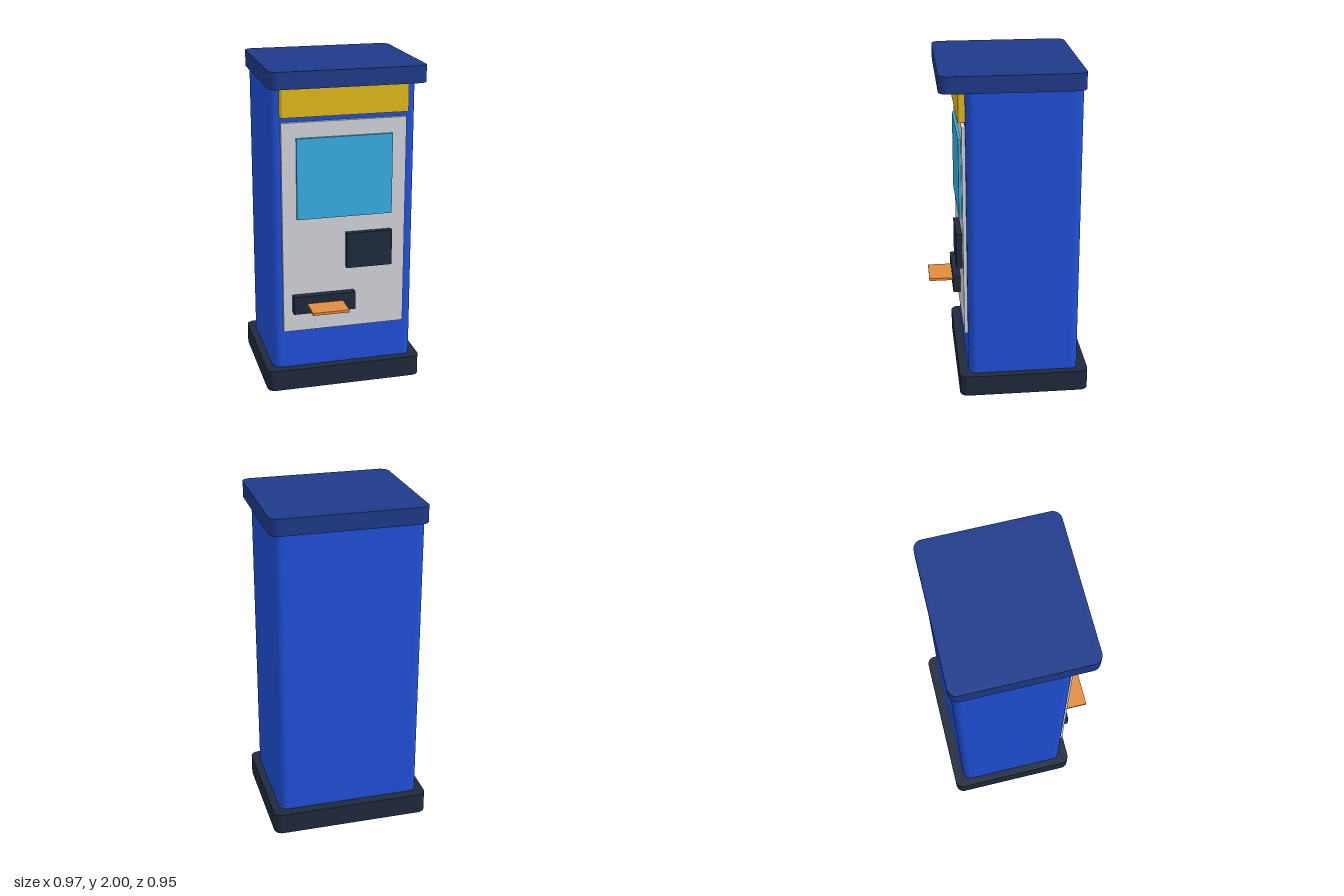
import * as THREE from 'three';

const mat = (name, color) => {
  const m = new THREE.MeshStandardMaterial({ color });
  m.name = name;
  return m;
};

export function createModel() {
  const kiosk = new THREE.Group();
  kiosk.name = 'ticketKiosk';

  const blue = mat('body blue', 0x1f50d8);
  const navy = mat('roof navy', 0x1e3a8a);
  const dark = mat('dark slate', 0x1f2a3c);
  const grey = mat('panel grey', 0xd3d6dc);
  const yellow = mat('sign yellow', 0xe2bb18);
  const cyan = mat('screen blue', 0x35afe5);
  const orange = mat('ticket orange', 0xe18c3d);

  const add = (name, geometry, material, x, y, z) => {
    const mesh = new THREE.Mesh(geometry, material);
    mesh.name = name;
    mesh.position.set(x, y, z);
    kiosk.add(mesh);
  };

  // Upright block with rounded vertical corners, given by its extents
  const block = (name, material, [x0, x1], [y0, y1], [z0, z1], r) => {
    const w = (x1 - x0) / 2, d = (z1 - z0) / 2;
    const s = new THREE.Shape();
    s.absarc(w - r, d - r, r, 0, Math.PI / 2);
    s.absarc(r - w, d - r, r, Math.PI / 2, Math.PI);
    s.absarc(r - w, r - d, r, Math.PI, Math.PI * 1.5);
    s.absarc(w - r, r - d, r, Math.PI * 1.5, Math.PI * 2);
    s.closePath();
    const g = new THREE.ExtrudeGeometry(s, { depth: y1 - y0, bevelEnabled: false, curveSegments: 8 });
    g.rotateX(-Math.PI / 2);
    // Smooth the corner walls: normals point away from each corner's centre
    const p = g.attributes.position, n = g.attributes.normal, v = new THREE.Vector3();
    for (let i = 0; i < p.count; i++) {
      if (Math.abs(n.getY(i)) > 0.5) continue;
      const x = p.getX(i), z = p.getZ(i);
      v.set(
        Math.sign(x) * Math.max(0, Math.abs(x) - (w - r)), 0,
        Math.sign(z) * Math.max(0, Math.abs(z) - (d - r))).normalize();
      n.setXYZ(i, v.x, 0, v.z);
    }
    add(name, g, material, (x0 + x1) / 2, y0, (z0 + z1) / 2);
  };

  // Plain box given by its extents
  const box = (name, material, [x0, x1], [y0, y1], [z0, z1]) =>
    add(name, new THREE.BoxGeometry(x1 - x0, y1 - y0, z1 - z0), material,
      (x0 + x1) / 2, (y0 + y1) / 2, (z0 + z1) / 2);

  // Cabinet
  block('base', dark, [-0.487, 0.487], [0, 0.13], [-0.475, 0.317], 0.05);
  block('body', blue, [-0.441, 0.441], [0.13, 1.9], [-0.413, 0.26], 0.05);
  block('roof', navy, [-0.464, 0.464], [1.9, 2], [-0.428, 0.41], 0.055);

  // Front fittings
  block('headerSign', yellow, [-0.385, 0.385], [1.714, 1.9], [0.24, 0.302], 0.014);
  box('frontPanel', grey, [-0.379, 0.377], [0.376, 1.68], [0.25, 0.281]);
  box('screen', cyan, [-0.292, 0.29], [1.095, 1.587], [0.27, 0.297]);
  box('keypad', dark, [0.008, 0.289], [0.771, 0.992], [0.27, 0.317]);
  box('ticketSlot', dark, [-0.323, 0.06], [0.503, 0.615], [0.27, 0.327]);
  box('ticket', orange, [-0.24, -0.018], [0.551, 0.567], [0.3, 0.475]);

  return kiosk;
}
